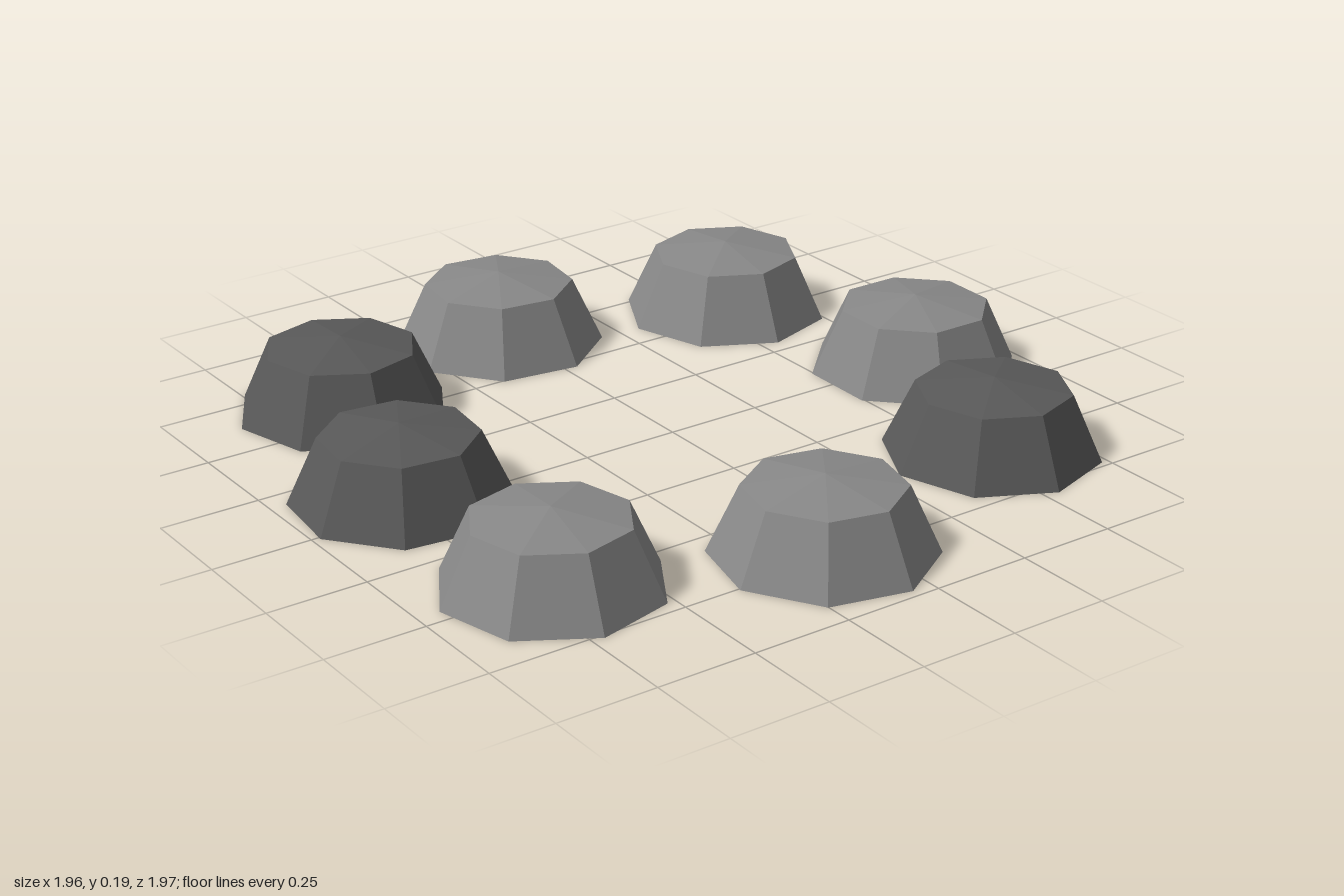
import * as THREE from 'three';

export function createModel() {
  const model = new THREE.Group();
  model.name = 'stoneRing';

  const makeMaterial = (name, color) => {
    const m = new THREE.MeshStandardMaterial({ color, flatShading: true, side: THREE.DoubleSide });
    m.name = name;
    return m;
  };
  const lightGrey = makeMaterial('lightGrey', 0x888888);
  const darkGrey = makeMaterial('darkGrey', 0x595959);

  // Eight-sided stone: sloping walls, shallow pointed cap, open underneath
  const profile = [[0.266, 0], [0.19, 0.166], [0, 0.194]].map(([r, y]) => new THREE.Vector2(r, y));
  const stoneShape = new THREE.LatheGeometry(profile, 8).toNonIndexed();
  stoneShape.computeVertexNormals();

  // Stones around the ring: x, z, turn in degrees, material
  const stones = [
    [-0.56, -0.57, 5, lightGrey],
    [0.02, -0.74, 23, lightGrey],
    [0.53, -0.56, 4.5, darkGrey],
    [0.715, 0.095, -9, lightGrey],
    [0.5, 0.68, 8.5, lightGrey],
    [-0.065, 0.725, -16, darkGrey],
    [-0.59, 0.58, 7.5, darkGrey],
    [-0.725, 0.035, -15, lightGrey],
  ];
  stones.forEach(([x, z, turn, material], i) => {
    const stone = new THREE.Mesh(stoneShape, material);
    stone.name = `stone${i + 1}`;
    stone.position.set(x, 0, z);
    stone.rotation.y = -THREE.MathUtils.degToRad(turn);
    model.add(stone);
  });

  return model;
}
